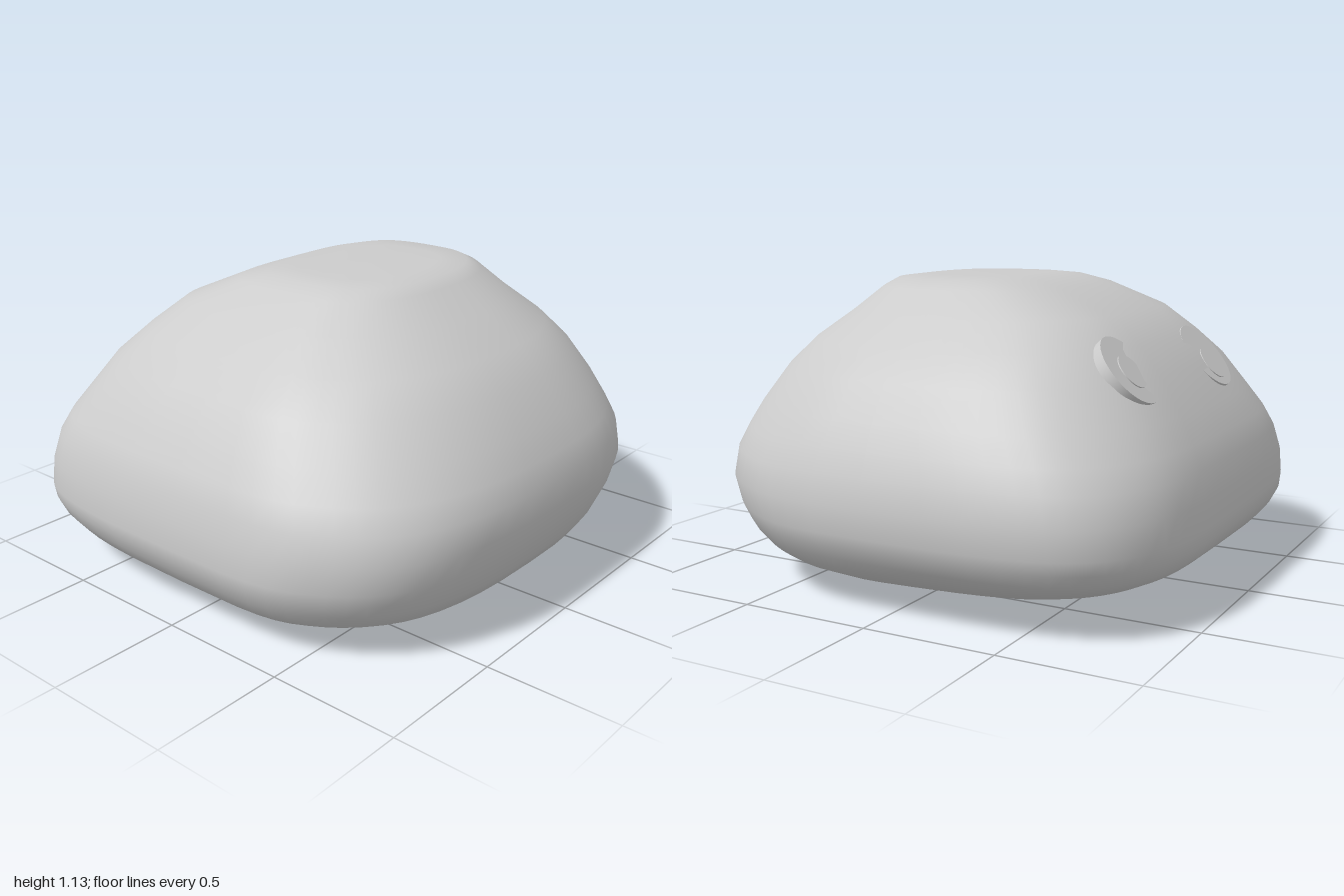
import * as THREE from 'three';

const SEGMENTS = 64;

// Boulder cross-sections: height, xMin, xMax, zMin, zMax
const SECTIONS = [
  [0.00, -0.50, 0.66, -0.56, 0.47],
  [0.03, -0.75, 0.75, -0.70, 0.62],
  [0.09, -0.87, 0.85, -0.82, 0.77],
  [0.14, -0.93, 0.90, -0.88, 0.85],
  [0.20, -0.97, 0.94, -0.92, 0.89],
  [0.25, -0.99, 0.97, -0.945, 0.91],
  [0.30, -1.00, 0.99, -0.95, 0.93],
  [0.40, -0.99, 1.00, -0.945, 0.955],
  [0.50, -0.97, 0.98, -0.92, 0.945],
  [0.58, -0.935, 0.95, -0.885, 0.91],
  [0.67, -0.88, 0.91, -0.83, 0.86],
  [0.80, -0.80, 0.83, -0.74, 0.77],
  [0.90, -0.68, 0.73, -0.65, 0.67],
  [1.00, -0.55, 0.61, -0.54, 0.53],
  [1.09, -0.41, 0.50, -0.34, 0.41],
  [1.12, -0.34, 0.43, -0.23, 0.36],
  [1.13, -0.25, 0.30, -0.14, 0.28],
];

// Corner squareness, [low, high] on the boulder
const CORNERS = {
  frontLeft: [2.65, 2.4],
  frontRight: [3.1, 2.6],
  backLeft: [3.9, 3.3],
  backRight: [4.6, 4.0],
};

const { lerp, clamp, smoothstep } = THREE.MathUtils;

// Blends the four corner exponents around the ring and up the height
function squareness(c, s, y) {
  const left = clamp(0.5 + c, 0, 1), front = clamp(0.5 + s, 0, 1);
  const at = ([low, high]) => lerp(low, high, smoothstep(y, 0.4, 0.8));
  return lerp(
    lerp(at(CORNERS.backRight), at(CORNERS.backLeft), left),
    lerp(at(CORNERS.frontRight), at(CORNERS.frontLeft), left), front);
}

// The underside tilts gently, rising to the back and to the model's left
const lift = (x, y, z) =>
  Math.max(0, 0.035 * (x + 0.3) + 0.04 * (0.42 - z)) * Math.max(0, 1 - y / 0.2);

function boulderGeometry() {
  const pos = [], index = [];
  for (const [y, x0, x1, z0, z1] of SECTIONS) {
    for (let j = 0; j < SEGMENTS; j++) {
      const t = (j / SEGMENTS) * Math.PI * 2;
      const c = Math.cos(t), s = Math.sin(t);
      const power = 2 / squareness(c, s, y);
      const x = (x0 + x1) / 2 + ((x1 - x0) / 2) * Math.sign(c) * Math.abs(c) ** power;
      const z = (z0 + z1) / 2 + ((z1 - z0) / 2) * Math.sign(s) * Math.abs(s) ** power;
      pos.push(x, y + lift(x, y, z), z);
    }
  }
  const last = SECTIONS.length - 1;
  const bottom = (last + 1) * SEGMENTS, top = bottom + 1;
  pos.push(0, lift(0, 0, 0), 0, 0.03, 1.13, 0.07);

  for (let j = 0; j < SEGMENTS; j++) {
    const k = (j + 1) % SEGMENTS;
    for (let i = 0; i < last; i++) {
      const a = i * SEGMENTS + j, b = i * SEGMENTS + k;
      index.push(a, a + SEGMENTS, b, b, a + SEGMENTS, b + SEGMENTS);
    }
    index.push(bottom, j, k, top, last * SEGMENTS + k, last * SEGMENTS + j);
  }
  const geometry = new THREE.BufferGeometry();
  geometry.setAttribute('position', new THREE.Float32BufferAttribute(pos, 3));
  geometry.setIndex(index);
  geometry.computeVertexNormals();
  return geometry;
}

export function createModel() {
  const model = new THREE.Group();
  model.name = 'boulderWithEyes';
  const material = new THREE.MeshStandardMaterial({ color: 0xcccccc });

  const addMesh = (parent, name, geometry) => {
    const mesh = new THREE.Mesh(geometry, material);
    mesh.name = name;
    parent.add(mesh);
    return mesh;
  };

  addMesh(model, 'boulder', boulderGeometry());

  // Thin disc eyes almost flush with the sloping back face
  const addEye = (name, x, y, z, pupilZ) => {
    const eye = new THREE.Group();
    eye.name = name;
    eye.position.set(x, y, z);
    eye.quaternion.setFromUnitVectors(
      new THREE.Vector3(0, 1, 0), new THREE.Vector3(0, 0.65, -0.76).normalize());
    addMesh(eye, 'eyeDisc', new THREE.CylinderGeometry(0.14, 0.14, 0.04, 40));
    const pupil = addMesh(eye, 'pupil', new THREE.CylinderGeometry(0.068, 0.068, 0.02, 32));
    pupil.position.set(0, 0.014, pupilZ);
    model.add(eye);
  };
  addEye('rightEye', -0.27, 0.808, -0.702, -0.04);
  addEye('leftEye', 0.40, 0.828, -0.672, -0.01);

  return model;
}
